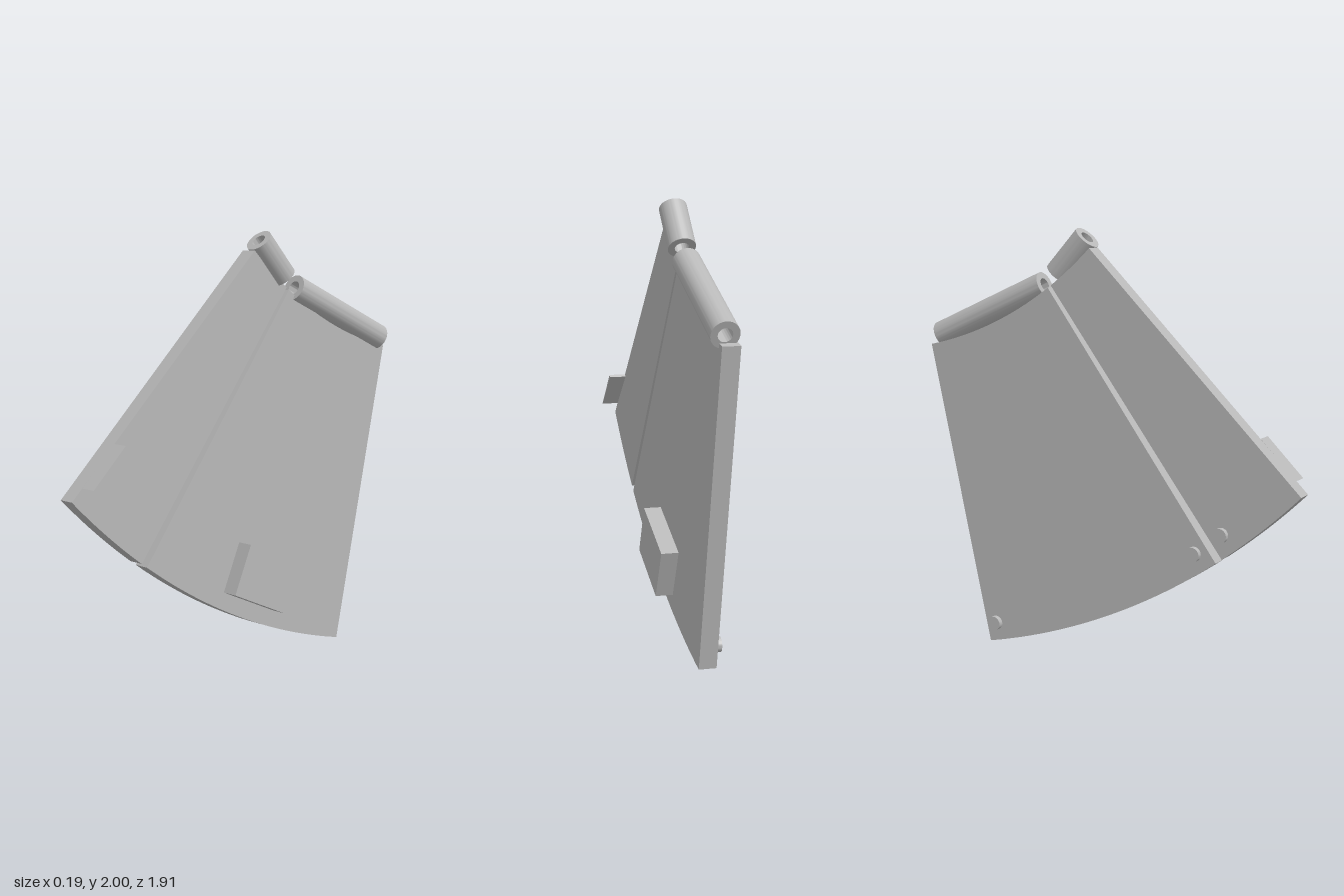
import * as THREE from 'three';
import { toCreasedNormals } from 'three/addons/utils/BufferGeometryUtils.js';

// Side profiles are drawn in (u, y), where u = -z, and extruded along x.
const BACK = -0.07, FACE = 0.01, PAD = 0.09, AXIS = -0.01;
const HUB = { u: 1.327, y: 3.157 }; // common centre of the curved edges
const R_IN = 1.76, R_OUT = 3.23;

const polar = (r, deg) => {
  const a = THREE.MathUtils.degToRad(deg);
  return new THREE.Vector2(HUB.u - r * Math.sin(a), HUB.y - r * Math.cos(a));
};

const arc = (r, from, to, n = 32) =>
  Array.from({ length: n + 1 }, (_, i) => polar(r, from + (to - from) * i / n));

export function createModel() {
  const group = new THREE.Group();
  const grey = new THREE.MeshStandardMaterial({ color: 0xb8b8b8 });
  grey.name = 'grey';

  const add = (name, geometry) => {
    const mesh = new THREE.Mesh(toCreasedNormals(geometry, 0.5), grey);
    mesh.name = name;
    group.add(mesh);
    return mesh;
  };

  const slab = (name, points, x0, x1) => {
    const geometry = new THREE.ExtrudeGeometry(new THREE.Shape(points), { depth: x1 - x0, bevelEnabled: false });
    geometry.rotateY(Math.PI / 2).translate(x0, 0, 0);
    return add(name, geometry);
  };

  // Two fan-shaped plates with a narrow gap between them
  const plate = (name, a, b) =>
    slab(name, [...arc(R_OUT, a, b), ...arc(R_IN, b, a)], BACK, FACE);
  plate('narrowPlate', 45, 36.36);
  plate('widePlate', 35.72, 12.33);

  // Raised block on the wide plate and thin tab along the narrow plate's edge
  const v = (u, y) => new THREE.Vector2(u, y);
  slab('block', [v(-0.109, 0.35), v(0.204, 0.212), v(0.305, 0.435), v(-0.013, 0.573)], FACE, PAD);
  slab('edgeTab', [v(-0.902, 0.927), v(-0.72, 1.09), v(-0.731, 1.1)], FACE, PAD);

  // Hollow hinge barrels, given by their end points in (y, z)
  const barrel = (name, y0, z0, y1, z1) => {
    const from = new THREE.Vector3(AXIS, y0, z0), to = new THREE.Vector3(AXIS, y1, z1);
    const ring = new THREE.Shape().absarc(0, 0, 0.0625, 0, Math.PI * 2);
    ring.holes.push(new THREE.Path().absarc(0, 0, 0.032, 0, Math.PI * 2, true));
    const mesh = add(name, new THREE.ExtrudeGeometry(ring, {
      depth: from.distanceTo(to), bevelEnabled: false, curveSegments: 32,
    }));
    mesh.position.copy(from);
    mesh.lookAt(to);
  };
  barrel('shortBarrel', 1.958, -0.125, 1.79, -0.278);
  barrel('longBarrel', 1.737, -0.35, 1.48, -0.93);

  // Small round pegs on the back face
  for (const [y, z] of [[0.667, 0.584], [0.566, 0.452], [0.097, -0.604]]) {
    const geometry = new THREE.CylinderGeometry(0.034, 0.034, 0.025, 32);
    geometry.rotateZ(Math.PI / 2).translate(BACK - 0.0125, y, z);
    add('peg', geometry);
  }
  return group;
}
